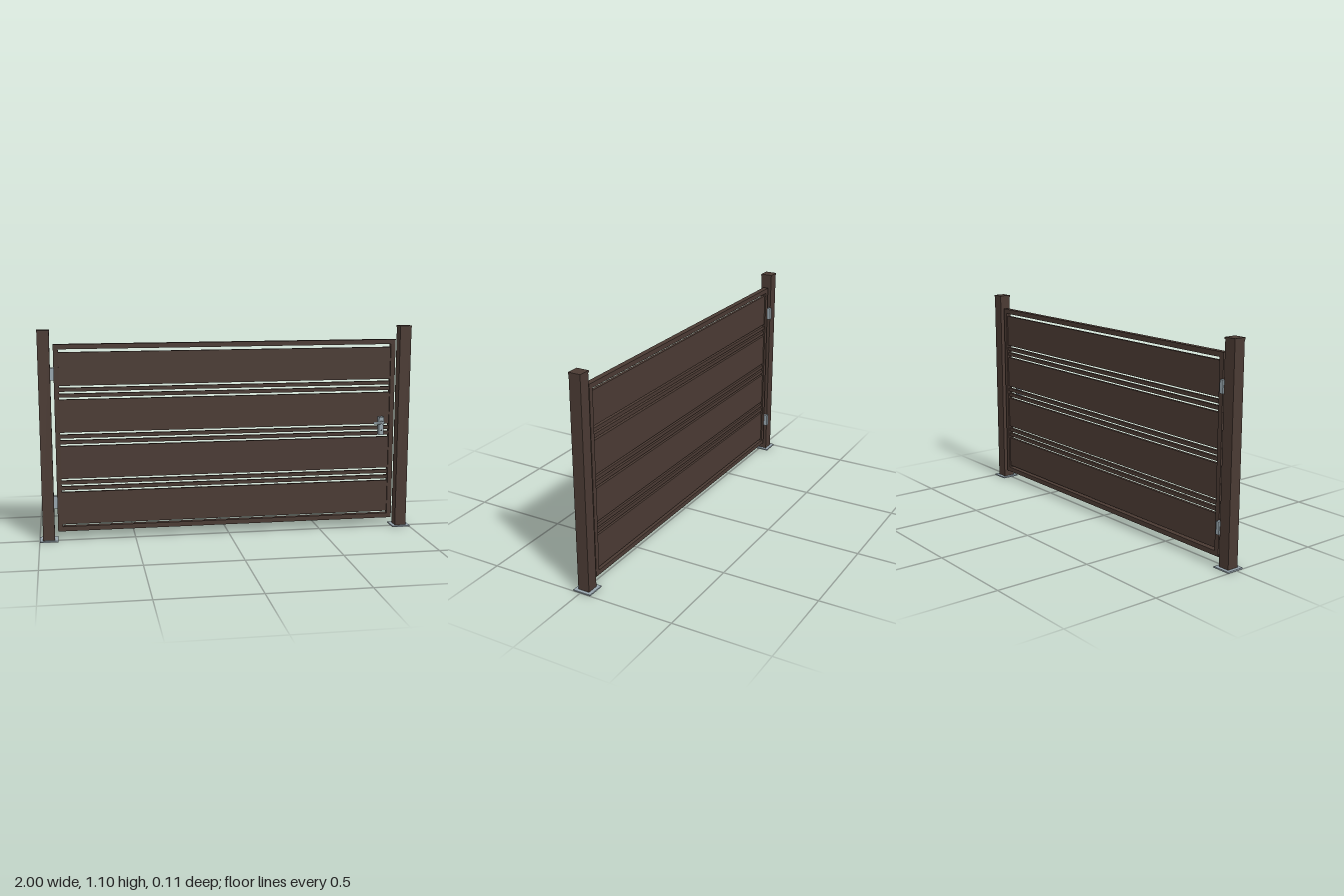
import * as THREE from 'three';

const brown = new THREE.MeshStandardMaterial({ color: 0x4a3a33 });
brown.name = 'brownPaint';
const steel = new THREE.MeshStandardMaterial({ color: 0x98a6ae });
steel.name = 'steel';
const dark = new THREE.MeshStandardMaterial({ color: 0x2b2b2d });
dark.name = 'darkMetal';

// Box given by its limits on each axis
function box(parent, name, material, [x0, x1], [y0, y1], [z0, z1]) {
  const mesh = new THREE.Mesh(new THREE.BoxGeometry(x1 - x0, y1 - y0, z1 - z0), material);
  mesh.position.set((x0 + x1) / 2, (y0 + y1) / 2, (z0 + z1) / 2);
  mesh.name = name;
  parent.add(mesh);
  return mesh;
}

// Round bar between two points
function bar(parent, name, material, from, to, radius) {
  const a = new THREE.Vector3(...from), b = new THREE.Vector3(...to);
  const dir = b.clone().sub(a);
  const mesh = new THREE.Mesh(new THREE.CylinderGeometry(radius, radius, dir.length(), 20), material);
  mesh.position.copy(a).add(b).multiplyScalar(0.5);
  mesh.quaternion.setFromUnitVectors(new THREE.Vector3(0, 1, 0), dir.normalize());
  mesh.name = name;
  parent.add(mesh);
  return mesh;
}

function createPost(side) {
  const post = new THREE.Group();
  post.name = side > 0 ? 'leftPost' : 'rightPost';
  const square = (name, mat, half, y) =>
    box(post, name, mat, [-half, half], y, [-half, half]);
  square('basePlate', steel, 0.048, [0, 0.007]);
  square('column', brown, 0.0305, [0.007, 1.09]);
  square('cap', brown, 0.0325, [1.09, 1.1]);
  post.position.set(side * 0.952, 0, -0.0085);
  return post;
}

function createGate() {
  const gate = new THREE.Group();
  gate.name = 'gate';
  const W = 0.904, B = 0.047, T = 1.027, F = 0.025;
  const frameZ = [-0.029, 0], fillZ = [-0.022, -0.007];

  // Outer frame
  box(gate, 'topRail', brown, [-W, W], [T - F, T], frameZ);
  box(gate, 'bottomRail', brown, [-W, W], [B, B + F], frameZ);
  for (const s of [-1, 1]) {
    const xs = s > 0 ? [W - F, W] : [-W, -W + F];
    box(gate, 'stile', brown, xs, [B + F, T - F], frameZ);
  }

  // Four wide boards with two narrow slats between neighbours
  const gap = 0.011, slat = 0.0193, board = 0.172;
  const across = [-W + F, W - F];
  let y = B + F + gap;
  for (let i = 0; i < 4; i++) {
    box(gate, 'wideBoard', brown, across, [y, y + board], fillZ);
    y += board + gap;
    for (let j = 0; j < 2 && i < 3; j++) {
      box(gate, 'narrowSlat', brown, across, [y, y + slat], fillZ);
      y += slat + gap;
    }
  }
  return gate;
}

function createHandle() {
  const handle = new THREE.Group();
  handle.name = 'handle';
  const x = 0.828, y = 0.584;
  box(handle, 'lockPlate', steel, [x - 0.013, x + 0.013], [0.515, 0.612], [0, 0.028]);
  bar(handle, 'spindle', steel, [x, y, 0.028], [x, y, 0.051], 0.0075);
  bar(handle, 'lever', steel, [x + 0.008, y, 0.051], [0.782, y, 0.051], 0.0065);
  const tip = new THREE.Mesh(new THREE.SphereGeometry(0.0065, 16, 10), steel);
  tip.position.set(0.782, y, 0.051);
  tip.name = 'leverTip';
  handle.add(tip);
  bar(handle, 'keyhole', dark, [x, 0.54, 0.027], [x, 0.54, 0.029], 0.004);
  return handle;
}

export function createModel() {
  const model = new THREE.Group();
  model.name = 'gateWithPosts';
  model.add(createPost(-1), createPost(1), createGate(), createHandle());

  // Hinges in the gap beside the right post
  for (const y of [0.165, 0.84]) {
    box(model, 'hinge', steel, [-0.923, -0.903], [y, y + 0.065], [-0.048, -0.026]);
  }
  return model;
}
